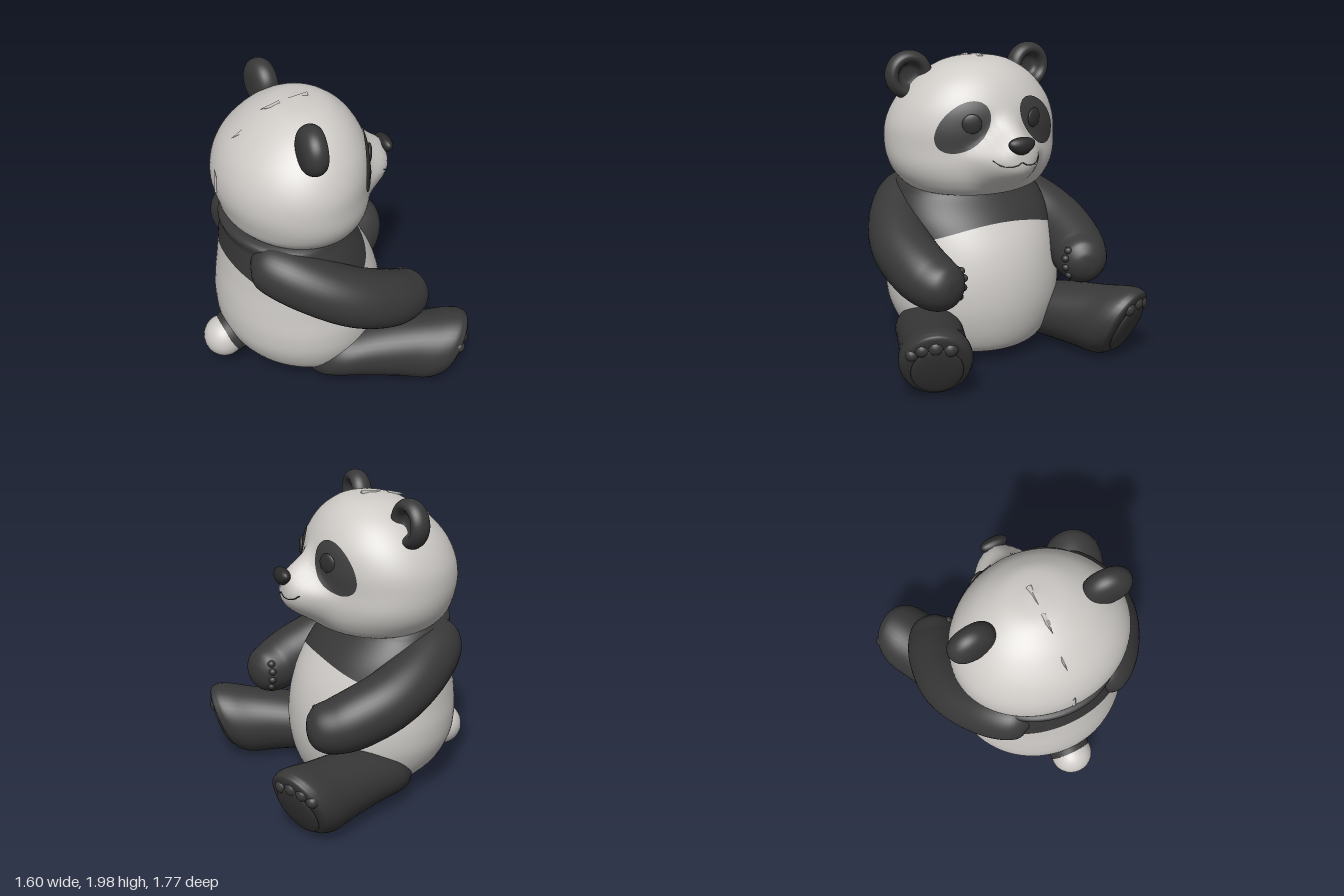
import * as THREE from 'three';

const mat = (name, color, side = THREE.FrontSide) => {
  const m = new THREE.MeshStandardMaterial({ color, side });
  m.name = name;
  return m;
};

// Smooth interpolation through rows of numbers; t runs from 0 to rows.length - 1
function rowAt(rows, t) {
  const n = rows.length - 1;
  const i = Math.min(Math.floor(t), n - 1), f = t - i;
  const [a, b, c, d] = [i - 1, i, i + 1, i + 2].map(k => rows[THREE.MathUtils.clamp(k, 0, n)]);
  return b.map((_, k) => 0.5 * (2 * b[k] + (c[k] - a[k]) * f
    + (2 * a[k] - 5 * b[k] + 4 * c[k] - d[k]) * f * f
    + (3 * b[k] - a[k] - 3 * c[k] + d[k]) * f * f * f));
}

// Closed rings: fn(u, angle) gives a point, u from 0 to 1
function rings(nu, na, fn) {
  const pos = [], idx = [];
  for (let i = 0; i <= nu; i++)
    for (let j = 0; j < na; j++) pos.push(...fn(i / nu, j / na * Math.PI * 2));
  for (let i = 0; i < nu; i++)
    for (let j = 0; j < na; j++) {
      const a = i * na + j, b = i * na + (j + 1) % na;
      idx.push(a, b, a + na, b, b + na, a + na);
    }
  const g = new THREE.BufferGeometry();
  g.setAttribute('position', new THREE.Float32BufferAttribute(pos, 3));
  g.setIndex(idx);
  g.computeVertexNormals();
  return g;
}

// Rows of [y, back x, front x, half width] give an oval at each height
function ovalPoint(rows, t, a) {
  const [y, xb, xf, w] = rowAt(rows, t);
  return [(xb + xf) / 2 + Math.max(0, (xf - xb) / 2) * Math.sin(a), y, Math.max(0, w) * Math.cos(a)];
}

// Limb through rows of [x, y, z, vertical radius, side radius]
function limb(rows, warp = p => p) {
  const n = rows.length - 1, up = new THREE.Vector3(0, 1, 0);
  return rings(n * 6, 40, (u, a) => {
    const t = u * n, r = rowAt(rows, t);
    const p0 = rowAt(rows, Math.max(0, t - 0.05)), p1 = rowAt(rows, Math.min(n, t + 0.05));
    const T = new THREE.Vector3(p1[0] - p0[0], p1[1] - p0[1], p1[2] - p0[2]).normalize();
    const S = T.clone().cross(up).normalize(), N = S.clone().cross(T);
    const p = new THREE.Vector3(r[0], r[1], r[2])
      .addScaledVector(N, Math.max(0, r[3]) * Math.cos(a))
      .addScaledVector(S, Math.max(0, r[4]) * Math.sin(a));
    return warp(p).toArray();
  });
}

const HEAD = [
  [1.09, -0.15, -0.15, 0], [1.092, -0.3, 0.1, 0.25], [1.12, -0.49, 0.22, 0.42], [1.2, -0.6, 0.28, 0.51],
  [1.3, -0.64, 0.3, 0.56], [1.42, -0.665, 0.295, 0.573], [1.55, -0.65, 0.295, 0.56], [1.68, -0.59, 0.275, 0.5],
  [1.8, -0.48, 0.21, 0.4], [1.88, -0.37, 0.13, 0.29], [1.93, -0.26, 0.04, 0.17], [1.95, -0.11, -0.11, 0]];
const BODY = [
  [0.06, 0, 0, 0], [0.065, -0.2, 0.2, 0.25], [0.1, -0.42, 0.31, 0.4], [0.2, -0.57, 0.37, 0.5],
  [0.35, -0.66, 0.405, 0.565], [0.5, -0.685, 0.41, 0.58], [0.65, -0.68, 0.39, 0.565], [0.8, -0.66, 0.34, 0.55],
  [0.95, -0.64, 0.25, 0.54], [1.08, -0.625, 0.14, 0.49], [1.17, -0.61, 0.07, 0.4], [1.19, -0.25, -0.25, 0]];

export function createModel() {
  const model = new THREE.Group();
  model.name = 'seatedBear';
  const white = mat('whiteFur', 0xcdcac6), black = mat('blackFur', 0x383838);
  const patchMat = mat('eyePatchFur', 0x3c3c3c, THREE.DoubleSide);
  const eyeMat = mat('eyeBlack', 0x303030), noseMat = mat('noseBlack', 0x2a2a2a);
  const add = (name, geo, material, parent = model) => {
    const m = new THREE.Mesh(geo, material);
    m.name = name;
    parent.add(m);
    return m;
  };
  const ball = (name, material, p, r, parent = model) => {
    const m = add(name, new THREE.SphereGeometry(1, 28, 18), material, parent);
    m.position.set(...p);
    m.scale.set(...r);
    return m;
  };

  // Body: white belly below, dark chest band above a curved line
  const split = a => 7.88 - 0.9 * Math.cos(a) ** 2;
  add('belly', rings(40, 80, (u, a) => ovalPoint(BODY, u * split(a), a)), white);
  add('chestBand', rings(20, 80, (u, a) =>
    ovalPoint(BODY, split(a) + u * (BODY.length - 1 - split(a)), a)), black);

  // Head with the muzzle swelling out of the face, narrower towards the brow
  const head = add('head', rings(66, 96, (u, a) => {
    const p = ovalPoint(HEAD, u * (HEAD.length - 1), a);
    const w = 0.21 - 0.1 * THREE.MathUtils.smoothstep(p[1], 1.36, 1.56);
    const d2 = ((p[1] - 1.385) / 0.19) ** 2 + (p[2] / w) ** 2;
    if (Math.sin(a) > 0) p[0] += 0.185 * Math.exp(-(d2 ** 1.7));
    p[2] -= 0.01;
    return p;
  }), white);
  const ray = new THREE.Raycaster();
  const faceX = (y, z) => {
    ray.set(new THREE.Vector3(2, y, z), new THREE.Vector3(-1, 0, 0));
    const hit = ray.intersectObject(head)[0];
    return hit ? hit.point.x : 0;
  };

  // Nose, wider at the top, and mouth
  add('nose', rings(18, 28, (u, a) => {
    const h = -Math.cos(u * Math.PI), r = Math.sin(u * Math.PI);
    return [0.475 + 0.046 * r * Math.sin(a), 1.468 + 0.055 * h, 0.088 * (1 + 0.3 * h) * r * Math.cos(a)];
  }), noseMat);
  const lip = [[1.378, 0.155], [1.35, 0.12], [1.342, 0.07], [1.35, 0.03], [1.365, 0],
    [1.35, -0.03], [1.342, -0.07], [1.35, -0.12], [1.378, -0.155]];
  const lipCurve = new THREE.CatmullRomCurve3(lip.map(([y, z]) => new THREE.Vector3(faceX(y, z), y, z)));
  add('mouth', new THREE.TubeGeometry(lipCurve, 48, 0.0035, 6), noseMat);

  // Tail with its dark collar
  ball('tail', white, [-0.678, 0.25, 0], [0.135, 0.14, 0.14]);
  const collar = add('tailCollar', new THREE.CylinderGeometry(0.14, 0.15, 0.09, 32), black);
  collar.position.set(-0.612, 0.278, 0);
  collar.rotation.z = 2.09;

  // Small tufts of hair along the crown and the back of the head
  for (const [x, y, len, turn] of [[-0.49, 1.785, 0.14, 1.95], [-0.3, 1.918, 0.13, 1.65],
    [-0.12, 1.943, 0.13, 1.5], [-0.66, 1.49, 0.17, 0.1]]) {
    const tuft = add('hairTuft', new THREE.ConeGeometry(0.024, len, 4), white);
    tuft.position.set(x, y, -0.02);
    tuft.rotation.z = turn;
  }

  const earProfile = [[0, -0.075], [0.06, -0.073], [0.11, -0.06], [0.143, -0.03], [0.155, 0.01], [0.147, 0.045],
    [0.125, 0.07], [0.1, 0.07], [0.08, 0.05], [0.065, 0.015], [0.04, 0], [0, -0.005]];
  const earGeo = new THREE.LatheGeometry(new THREE.SplineCurve(
    earProfile.map(p => new THREE.Vector2(...p))).getPoints(44).map(p => p.setX(Math.max(0, p.x))), 40);

  for (const s of [1, -1]) {
    const side = s > 0 ? 'left' : 'right';

    // Ear: a cupped disc facing forward
    const ear = add(side + 'Ear', earGeo, black);
    ear.position.set(s > 0 ? -0.225 : -0.19, 1.84, s * 0.428 - 0.018);
    ear.rotation.set(0, -s * 0.1, -Math.PI / 2, 'YXZ');

    // Eye patch laid on the face, with the eye on top
    const m = Math.SQRT1_2;
    add(side + 'EyePatch', rings(10, 48, (r, a) => {
      const p = 0.19 * r * Math.cos(a), q = 0.118 * r * Math.sin(a);
      const y = 1.562 + m * p - s * m * q, z = s * 0.262 - s * m * p - m * q;
      return [faceX(y, z) + 0.007, y, z];
    }), patchMat);
    const eye = ball(side + 'Eye', eyeMat, [faceX(1.585, s * 0.22) + 0.006, 1.585, s * 0.22], [0.018, 0.062, 0.062]);
    eye.rotation.y = -s * 0.42;

    // Arm sweeping forward and in, with finger pads on the inner side
    add(side + 'Arm', limb([
      [-0.55, 1.01, 0.24, 0, 0], [-0.51, 1.01, 0.28, 0.14, 0.12], [-0.39, 0.975, 0.39, 0.18, 0.175],
      [-0.2, 0.885, 0.52, 0.185, 0.185], [0, 0.79, 0.58, 0.19, 0.195], [0.2, 0.705, 0.575, 0.19, 0.19],
      [0.34, 0.655, 0.54, 0.175, 0.18], [0.45, 0.64, 0.5, 0.145, 0.145], [0.505, 0.635, 0.48, 0.08, 0.08],
      [0.52, 0.634, 0.475, 0, 0]].map(([x, y, z, v, h]) => [x, y, s * z, v, h])), black);
    for (const [y, z] of [[0.725, 0.395], [0.675, 0.375], [0.615, 0.38], [0.56, 0.405]])
      ball(side + 'FingerPad', black, [0.42, y, s * z], [0.026, 0.024, 0.026]);

    // Leg turned outward and sheared so that the toes lean forward
    const leg = new THREE.Group();
    leg.name = side + 'Leg';
    leg.position.set(0, 0, s * 0.405);
    leg.rotation.y = -s * 0.41;
    model.add(leg);
    const lean = p => {
      p.x += 0.47 * (p.y - 0.25);
      return p;
    };
    add(side + 'LegAndFoot', limb([
      [-0.17, 0.22, 0, 0, 0], [-0.15, 0.22, 0, 0.12, 0.13], [-0.07, 0.225, 0, 0.17, 0.19], [0.03, 0.23, 0, 0.178, 0.215],
      [0.2, 0.243, 0, 0.198, 0.212], [0.45, 0.25, 0, 0.222, 0.212], [0.6, 0.255, 0, 0.242, 0.225],
      [0.68, 0.255, 0, 0.235, 0.215], [0.725, 0.255, 0, 0.19, 0.175], [0.735, 0.255, 0, 0, 0]], lean), black, leg);
    const pad = ball(side + 'SolePad', black, [0.727, 0.225, 0], [0.024, 0.185, 0.158], leg);
    pad.rotation.z = -0.44;
    for (const [y, z, r] of [[0.35, 0.15, 0.04], [0.385, 0.09, 0.045], [0.4, 0.012, 0.05], [0.385, -0.075, 0.05]])
      ball(side + 'Toe', black, lean(new THREE.Vector3(0.706, y, s * z)).toArray(), [r, r, r], leg);
  }
  return model;
}
